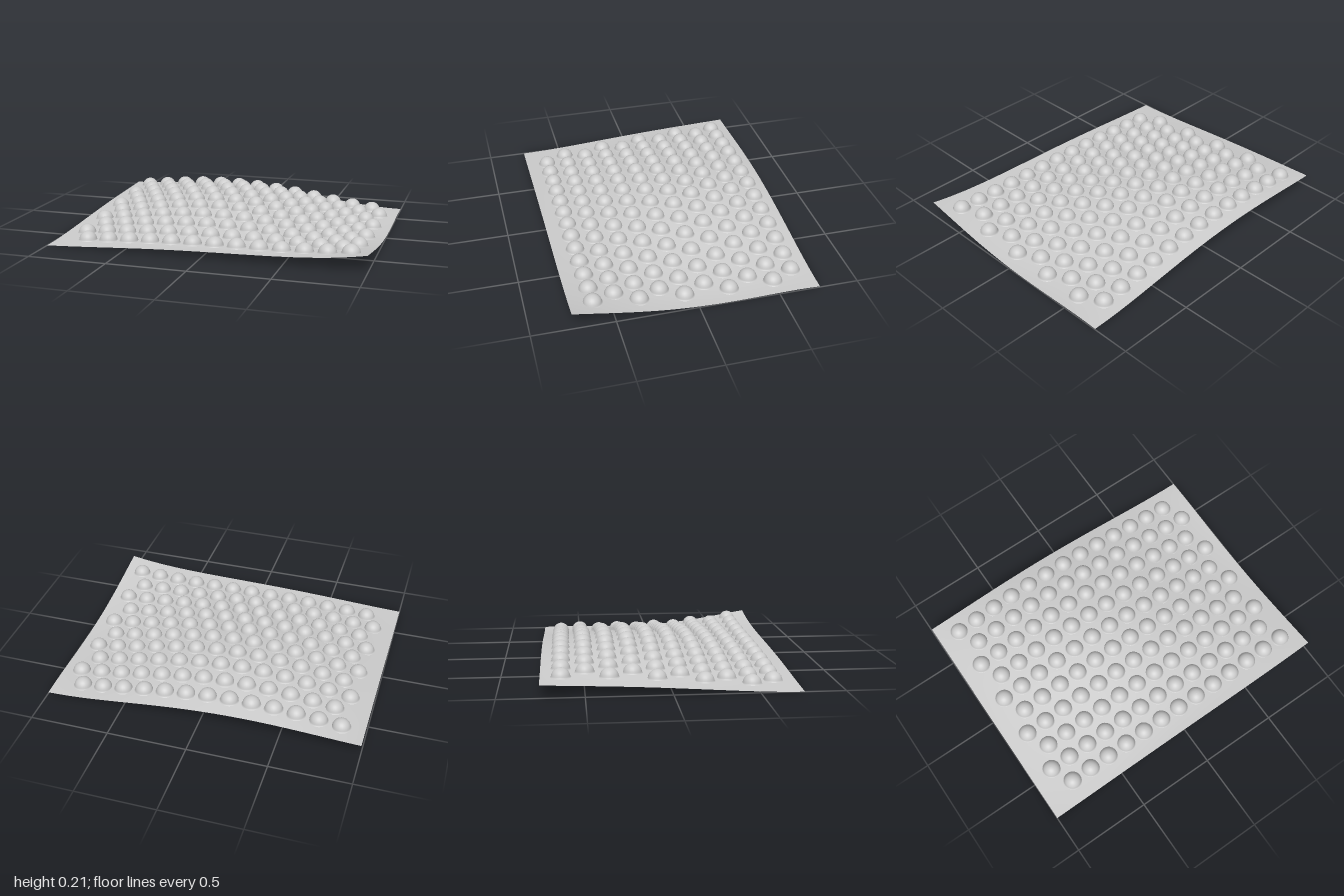
import * as THREE from 'three';

const HALF_X = 1, HALF_Z = 0.757;

// Sheet heights, back row to front row, each from -x to +x
const HEIGHTS = [
  [0.08, 0.105, 0.1, 0.05, 0.01],
  [0.065, 0.14, 0.155, 0.075, 0.01],
  [0.045, 0.118, 0.145, 0.075, 0.012],
  [0.02, 0.065, 0.085, 0.062, 0.05],
  [0.005, 0.03, 0.05, 0.063, 0.113],
];

// Smooth curve through five evenly spaced values, t from -1 to 1
function through(values, t) {
  const u = (t + 1) * 2;
  return values.reduce((sum, v, i) => {
    for (let j = 0; j < 5; j++) if (j !== i) v *= (u - j) / (i - j);
    return sum + v;
  }, 0);
}

const sheetHeight = (x, z) =>
  through(HEIGHTS.map((row) => through(row, x / HALF_X)), z / HALF_Z);

export function createModel() {
  const model = new THREE.Group();
  const material = new THREE.MeshStandardMaterial({ color: 0xcccccc, side: THREE.DoubleSide });

  // Gently warped thin sheet
  const sheetGeometry = new THREE.PlaneGeometry(2 * HALF_X, 2 * HALF_Z, 60, 46).rotateX(-Math.PI / 2);
  const p = sheetGeometry.attributes.position;
  for (let i = 0; i < p.count; i++) p.setY(i, sheetHeight(p.getX(i), p.getZ(i)));
  sheetGeometry.computeVertexNormals();
  const sheet = new THREE.Mesh(sheetGeometry, material);
  sheet.name = 'sheet';
  model.add(sheet);

  // Air bubble: upright dome with a small flared foot
  const radius = 0.056;
  const profile = [new THREE.Vector2(0.061, 0), new THREE.Vector2(0.057, 0.003)];
  for (let i = 1; i <= 10; i++) {
    const a = (i / 10) * Math.PI / 2;
    profile.push(new THREE.Vector2(i === 10 ? 0 : radius * Math.cos(a), radius * Math.sin(a)));
  }
  const bubbleGeometry = new THREE.LatheGeometry(profile, 24);

  // Ten staggered rows of thirteen bubbles
  const bubbles = new THREE.Group();
  bubbles.name = 'bubbles';
  const pitch = 0.139;
  for (let row = 0; row < 10; row++) {
    for (let col = 0; col < 13; col++) {
      const x = -0.856 + (col + (row % 2) / 2) * pitch;
      const z = -0.636 + row * pitch;
      const bubble = new THREE.Mesh(bubbleGeometry, material);
      bubble.name = 'bubble';
      bubble.position.set(x, sheetHeight(x, z), z);
      bubbles.add(bubble);
    }
  }
  model.add(bubbles);
  return model;
}
